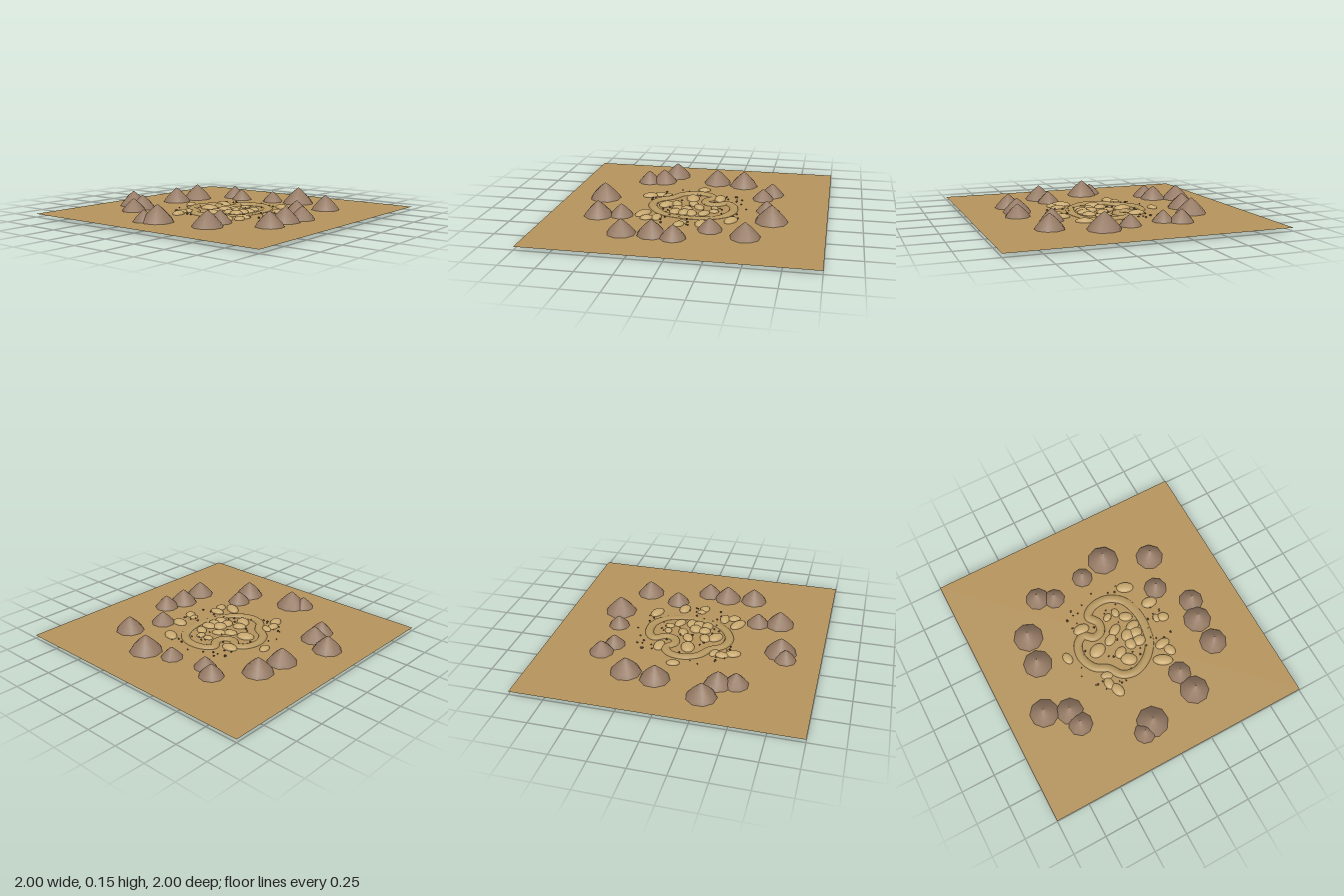
import * as THREE from 'three';
import { ParametricGeometry } from 'three/addons/geometries/ParametricGeometry.js';

const GROUND = 0.024;
const material = (color, extra = {}) => new THREE.MeshStandardMaterial({ color, ...extra });

export function createModel() {
  const model = new THREE.Group();
  let seed = 7;
  const random = () => (seed = (seed * 16807) % 2147483647) / 2147483647;
  const add = (name, geometry, mat, parent = model) => {
    const mesh = new THREE.Mesh(geometry, mat);
    mesh.name = name;
    parent.add(mesh);
    return mesh;
  };
  const addGroup = (name) => {
    const group = new THREE.Group();
    group.name = name;
    model.add(group);
    return group;
  };

  // Flat square of sand
  const sand = add('ground', new THREE.PlaneGeometry(2, 2).rotateX(-Math.PI / 2),
    material(0xb4935d, { side: THREE.DoubleSide }));
  sand.position.y = GROUND;

  // Nine-sided pointed hills around the edge: x, z, radius
  const hills = [
    [-0.27, -0.735, 0.108], [-0.465, -0.54, 0.09], [-0.345, -0.565, 0.1],
    [0.09, -0.61, 0.108], [0.31, -0.58, 0.112], [0.56, -0.38, 0.09],
    [0.5, -0.265, 0.08], [0.555, 0.005, 0.079], [0.61, 0.215, 0.12],
    [0.465, 0.55, 0.106], [0.21, 0.46, 0.088], [-0.01, 0.65, 0.092],
    [-0.165, 0.615, 0.105], [-0.375, 0.63, 0.102], [-0.47, 0.285, 0.086],
    [-0.635, 0.315, 0.108], [-0.70, -0.075, 0.118], [-0.745, -0.16, 0.08],
  ];
  const hillProfile = [[1, 0], [0.86, 0.23], [0.53, 0.59], [0.25, 0.85], [0, 1.04]]
    .map(([r, y]) => new THREE.Vector2(r, y));
  const hillGeometry = new THREE.LatheGeometry(hillProfile, 9);
  const hillMaterial = material(0x957a64);
  const hillGroup = addGroup('hills');
  hills.forEach(([x, z, r], i) => {
    const hill = add('hill', hillGeometry, hillMaterial, hillGroup);
    hill.position.set(x, GROUND + 0.001, z);
    hill.scale.setScalar(r);
    hill.rotation.y = i * 0.9;
  });

  // Low rounded bank winding around the hollow, lower towards the front
  const bankPath = new THREE.CatmullRomCurve3([
    [-0.02, -0.30], [-0.13, -0.255], [-0.19, -0.165], [-0.28, -0.095],
    [-0.305, 0.005], [-0.257, 0.118], [-0.166, 0.2], [-0.075, 0.23],
    [0.086, 0.24], [0.235, 0.19], [0.307, 0.085], [0.3, -0.045],
    [0.245, -0.105], [0.165, -0.06], [0.095, -0.08], [0.077, -0.145],
    [0.125, -0.21], [0.085, -0.275],
  ].map(([x, z]) => new THREE.Vector3(x, 0, z)), true);
  const bank = (u, v, target) => {
    const p = bankPath.getPoint(u % 1);
    const t = bankPath.getTangent(u % 1);
    const across = -Math.cos(Math.PI * v) * 0.032;
    const height = 0.02 - 0.012 * THREE.MathUtils.smoothstep(p.z, 0.1, 0.22);
    target.set(p.x + t.z * across, GROUND + Math.sin(Math.PI * v) * height, p.z - t.x * across);
  };
  add('bank', new ParametricGeometry(bank, 160, 8),
    material(0xb4965f, { side: THREE.DoubleSide }));

  // Smooth boulders half sunk in the sand: x, z, half width, half depth, turn
  const boulders = [
    [0.02, -0.395, 0.048, 0.033, 0.2], [-0.37, -0.18, 0.058, 0.039, 0.3],
    [-0.295, -0.215, 0.048, 0.035, 0], [-0.235, -0.2, 0.03, 0.045, -0.4],
    [0.177, -0.2, 0.042, 0.062, 0], [0.325, 0.255, 0.042, 0.066, -0.4],
    [-0.325, 0.225, 0.042, 0.075, -0.5], [-0.28, 0.31, 0.048, 0.036, 0.4],
    [-0.21, 0.285, 0.036, 0.058, 0.1], [-0.025, 0.395, 0.036, 0.044, -0.4],
    [-0.01, 0.345, 0.033, 0.025, 0], [0.128, 0.36, 0.042, 0.06, -0.1],
  ];
  const hollowBoulders = [
    [-0.2, 0.005, 0.046, 0.062, -0.6], [-0.125, -0.025, 0.038, 0.05, 0.5],
    [-0.03, -0.17, 0.05, 0.066, 0.3], [0, -0.045, 0.036, 0.052, 0.5],
    [0.053, 0.02, 0.035, 0.054, 0.5], [-0.1, 0.075, 0.045, 0.04, 0.3],
    [-0.105, 0.145, 0.042, 0.048, 0], [-0.027, 0.085, 0.045, 0.05, 0.7],
    [0.02, 0.155, 0.038, 0.055, 0.2], [-0.035, 0.15, 0.042, 0.05, -0.3],
    [0.11, 0.145, 0.036, 0.052, -0.5], [0.175, 0.09, 0.036, 0.028, 0],
    [0.17, 0.02, 0.026, 0.036, 0.4],
  ];
  const boulderGeometry = new THREE.SphereGeometry(1, 18, 12);
  const boulderMaterial = material(0xc6a76e);
  const addBoulders = (name, list) => {
    const group = addGroup(name);
    for (const [x, z, a, b, turn] of list) {
      const boulder = add('boulder', boulderGeometry, boulderMaterial, group);
      boulder.position.set(x, GROUND + 0.003, z);
      boulder.scale.set(a, Math.min(0.027, 0.6 * Math.min(a, b)), b);
      boulder.rotation.y = turn;
    }
  };
  addBoulders('outerBoulders', boulders);
  addBoulders('hollowBoulders', hollowBoulders);

  // Dark pebbles scattered in and around the hollow
  const pebbleGeometry = new THREE.IcosahedronGeometry(1, 0);
  const pebbleMaterial = material(0x6b5235, { flatShading: true });
  const pebbleGroup = addGroup('pebbles');
  for (let i = 0; i < 75; i++) {
    const angle = random() * Math.PI * 2;
    const distance = 0.42 * Math.sqrt(random());
    const pebble = add('pebble', pebbleGeometry, pebbleMaterial, pebbleGroup);
    pebble.position.set(Math.cos(angle) * distance, GROUND + 0.004, Math.sin(angle) * distance);
    pebble.scale.setScalar(0.005 + random() * 0.004);
    pebble.rotation.y = angle;
  }

  return model;
}
